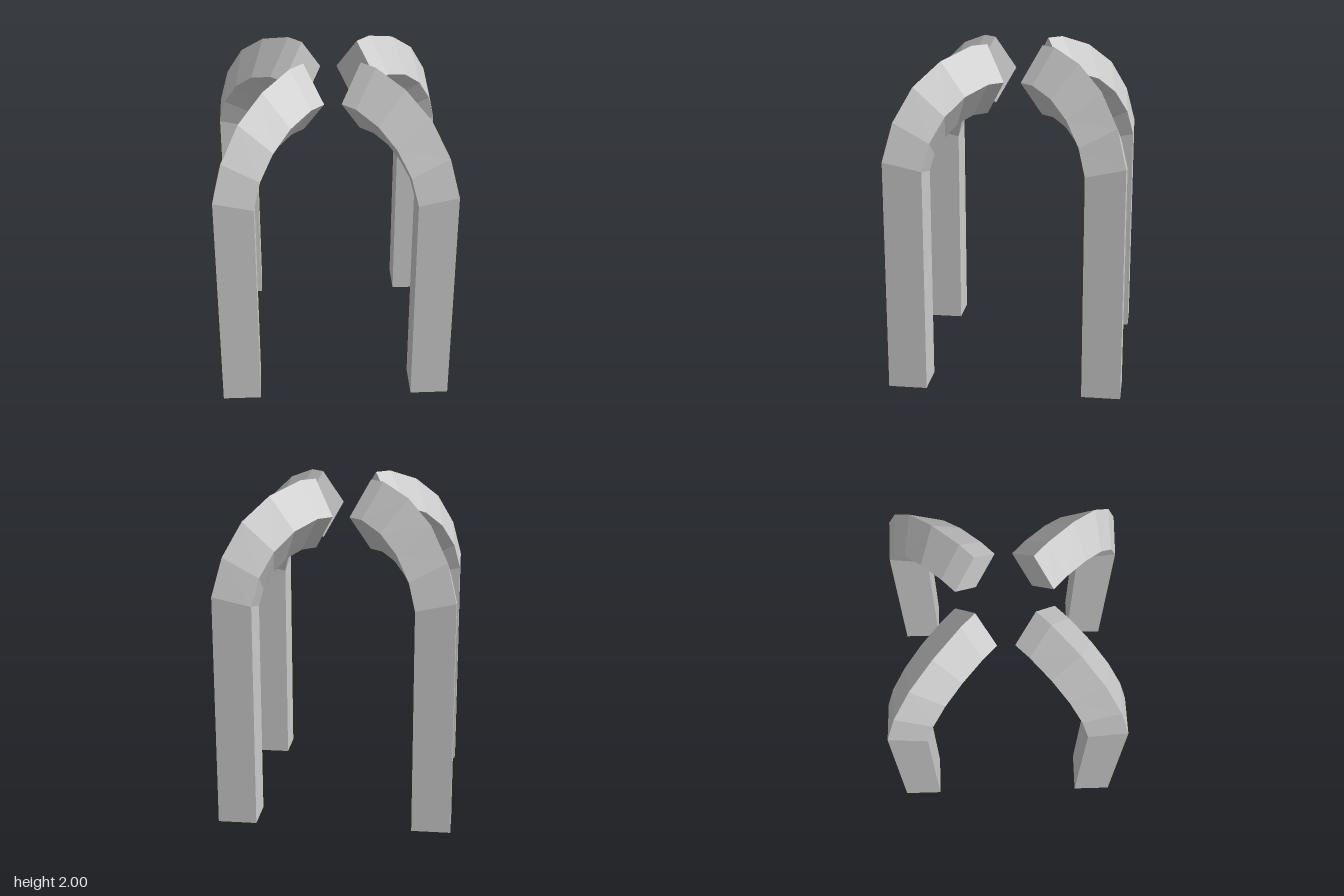
import * as THREE from 'three';

// Rings from foot to tip: [outer ridge out, outer ridge y, inner ridge out, inner ridge y],
// "out" being the x (and z) distance along the diagonal.
const RINGS = [
  [0.695, 0, 0.465, 0],
  [0.695, 1.39, 0.465, 1.29],
  [0.64, 1.61, 0.44, 1.385],
  [0.54, 1.8, 0.386, 1.475],
  [0.402, 1.93, 0.322, 1.544],
  [0.245, 2.0, 0.241, 1.584],
  [0.165, 2.0, 0.165, 1.584],
];
const HALF_WIDTH = 0.115 * Math.SQRT2;

// Square post standing corner-out, its top curling inward along local -x
function createLegGeometry() {
  const positions = [];
  const index = [];
  for (const [outer, outerY, inner, innerY] of RINGS) {
    const a = outer * Math.SQRT2;
    const b = inner * Math.SQRT2;
    const mid = (a + b) / 2;
    const midY = (outerY + innerY) / 2;
    positions.push(
      a, outerY, 0,
      mid, midY, HALF_WIDTH,
      b, innerY, 0,
      mid, midY, -HALF_WIDTH,
    );
  }
  for (let i = 0; i < RINGS.length - 1; i++) {
    for (let k = 0; k < 4; k++) {
      const a = i * 4 + k;
      const b = i * 4 + ((k + 1) % 4);
      index.push(a, a + 4, b + 4, a, b + 4, b);
    }
  }
  // foot and tip caps
  const t = (RINGS.length - 1) * 4;
  index.push(0, 1, 2, 0, 2, 3, t, t + 2, t + 1, t, t + 3, t + 2);

  const indexed = new THREE.BufferGeometry();
  indexed.setAttribute('position', new THREE.Float32BufferAttribute(positions, 3));
  indexed.setIndex(index);
  const geometry = indexed.toNonIndexed();
  geometry.computeVertexNormals();
  return geometry;
}

export function createModel() {
  const model = new THREE.Group();
  model.name = 'curvedLegs';
  const material = new THREE.MeshStandardMaterial({ color: 0xcccccc, flatShading: true });
  const geometry = createLegGeometry();

  // One leg on each diagonal, all curling toward the centre
  const names = ['backLeftLeg', 'backRightLeg', 'frontRightLeg', 'frontLeftLeg'];
  names.forEach((name, i) => {
    const leg = new THREE.Mesh(geometry, material);
    leg.name = name;
    leg.rotation.y = Math.PI / 4 + (i * Math.PI) / 2;
    model.add(leg);
  });
  return model;
}
